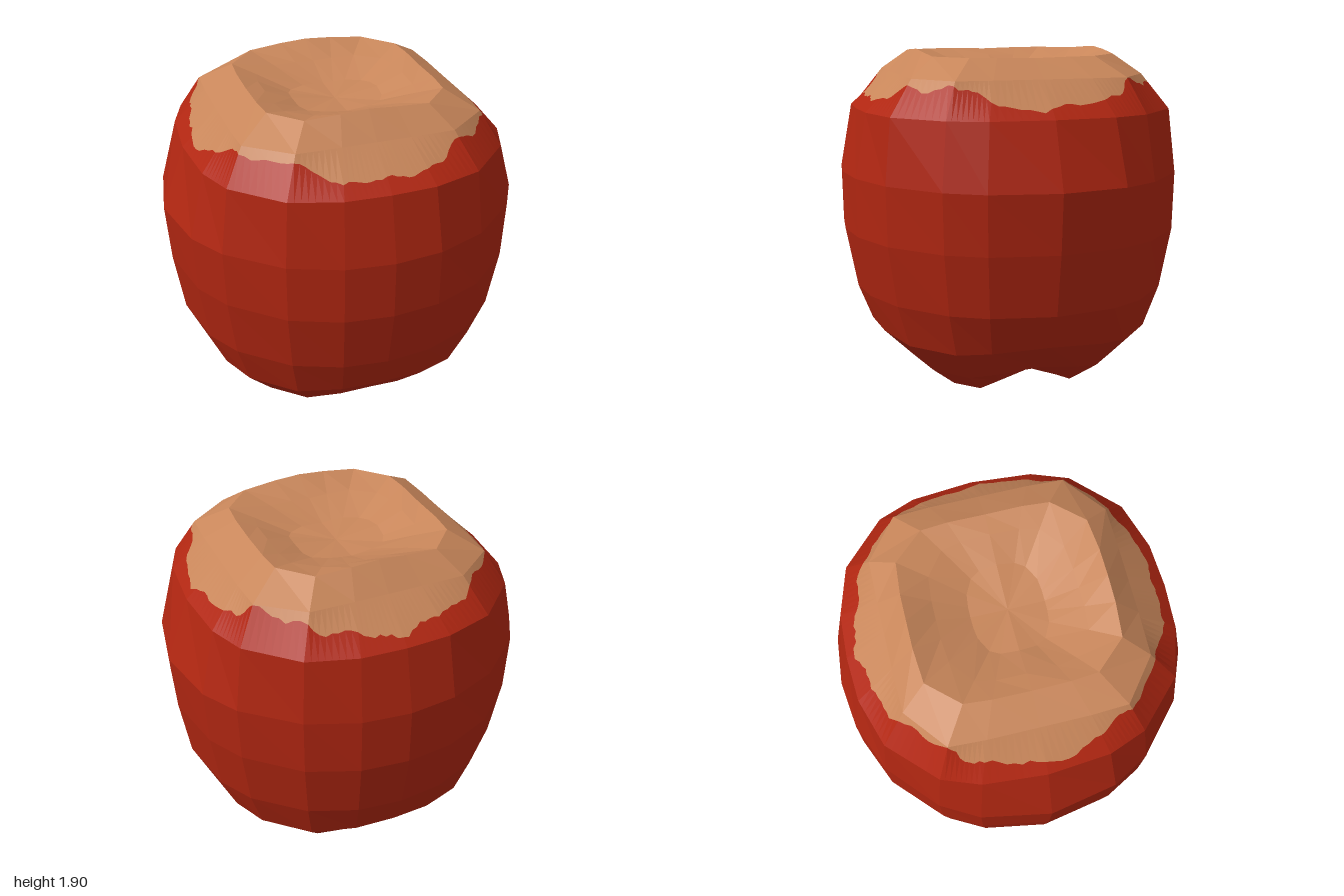
import * as THREE from 'three';

// directions of the uneven 20-sided cross-section
const quarter = [0, 22, 35.5, 56.5, 74];
const ANGLES = [];
for (let q = 0; q < 4; q++) {
  for (let i = 0; i < 5; i++) {
    const deg = q % 2 ? 90 - (i ? quarter[5 - i] : 90) : quarter[i];
    ANGLES.push((q * 90 + deg) * Math.PI / 180);
  }
}

// closed ring: half widths a (x) and b (z), squareness n, heights on the x axis, z axis and diagonals
function ring(a, b, n, yx, yz = yx, yd = (yx + yz) / 2) {
  return ANGLES.map((t) => {
    const c = Math.cos(t), s = Math.sin(t);
    const r = (Math.abs(c / a) ** n + Math.abs(s / b) ** n) ** (-1 / n);
    const diag = Math.sin(2 * t) ** 2;
    const y = (yx * c * c + yz * s * s) * (1 - diag) + yd * diag;
    return new THREE.Vector3(c * r, y, s * r);
  });
}

// faceted skin through successive rings, running from the underside up and over
function loft(rings) {
  const pos = [];
  const tri = (...pts) => pts.forEach((p) => pos.push(p.x, p.y, p.z));
  for (let k = 0; k < rings.length - 1; k++) {
    const lo = rings[k], up = rings[k + 1];
    for (let i = 0; i < lo.length; i++) {
      const j = (i + 1) % lo.length;
      tri(lo[i], up[i], up[j]);
      tri(lo[i], up[j], lo[j]);
    }
  }
  const g = new THREE.BufferGeometry();
  g.setAttribute('position', new THREE.Float32BufferAttribute(pos, 3));
  g.computeVertexNormals();
  return g;
}

// split each side of a ring into smaller steps
function refine(points, steps) {
  return points.flatMap((p, i) => {
    const next = points[(i + 1) % points.length];
    return Array.from({ length: steps }, (_, s) => p.clone().lerp(next, s / steps));
  });
}

function material(name, color) {
  const m = new THREE.MeshStandardMaterial({ color });
  m.name = name;
  return m;
}

export function createModel() {
  const group = new THREE.Group();
  group.name = 'apple';
  const red = material('red skin', 0xb02611);
  const cream = material('tan flesh', 0xc8865a);
  const dark = material('dark base', 0x1f1d14);
  const add = (name, geometry, mat) => {
    const mesh = new THREE.Mesh(geometry, mat);
    mesh.name = name;
    group.add(mesh);
    return mesh;
  };

  const shoulder = ring(0.87, 0.88, 2.6, 1.59);
  const crown = ring(0.67, 0.655, 7, 1.78);

  // body with four lobes underneath
  add('skin', loft([
    ring(0.25, 0.25, 2, 0.14),
    ring(0.33, 0.33, 2, 0.12, 0.09, 0.02),
    ring(0.45, 0.47, 2.1, 0.13, 0.08, 0),
    ring(0.64, 0.63, 2.1, 0.2, 0.2, 0.13),
    ring(0.82, 0.81, 2.1, 0.37, 0.37, 0.32),
    ring(0.92, 0.89, 2.1, 0.57),
    ring(0.975, 0.955, 2.1, 0.91),
    ring(1, 0.96, 2.08, 1.235),
    shoulder,
  ]), red);

  // ragged edge between skin and flesh, near a constant radius
  const low = refine(shoulder, 8), high = refine(crown, 8);
  let seed = 7;
  const random = () => (seed = (seed * 16807) % 2147483647) / 2147483647;
  const edge = low.map((p, i) => {
    const r0 = Math.hypot(p.x, p.z), r1 = Math.hypot(high[i].x, high[i].z);
    const wave = 0.012 * Math.sin(i * 0.43) + 0.008 * Math.sin(i * 0.9 + 1);
    const target = 0.815 + wave + 0.014 * (random() - 0.5);
    const t = THREE.MathUtils.clamp((r0 - target) / Math.max(r0 - r1, 0.01), 0.06, 0.98);
    return p.clone().lerp(high[i], t);
  });
  add('skinEdge', loft([low, edge]), red);
  add('fleshEdge', loft([edge, high]), cream);

  // rim and hollow on top
  add('fleshTop', loft([
    crown,
    ring(0.505, 0.53, 5, 1.88, 1.912, 1.885),
    ring(0.4, 0.38, 4, 1.85, 1.83, 1.84),
    ring(0.25, 0.2, 3, 1.79, 1.76, 1.77),
    ring(0.001, 0.001, 2, 1.755),
  ]), cream);

  // dark disc in the hollow underneath
  const base = add('baseDisc', new THREE.CircleGeometry(0.26, 24), dark);
  base.rotation.x = Math.PI / 2;
  base.position.y = 0.138;
  return group;
}
